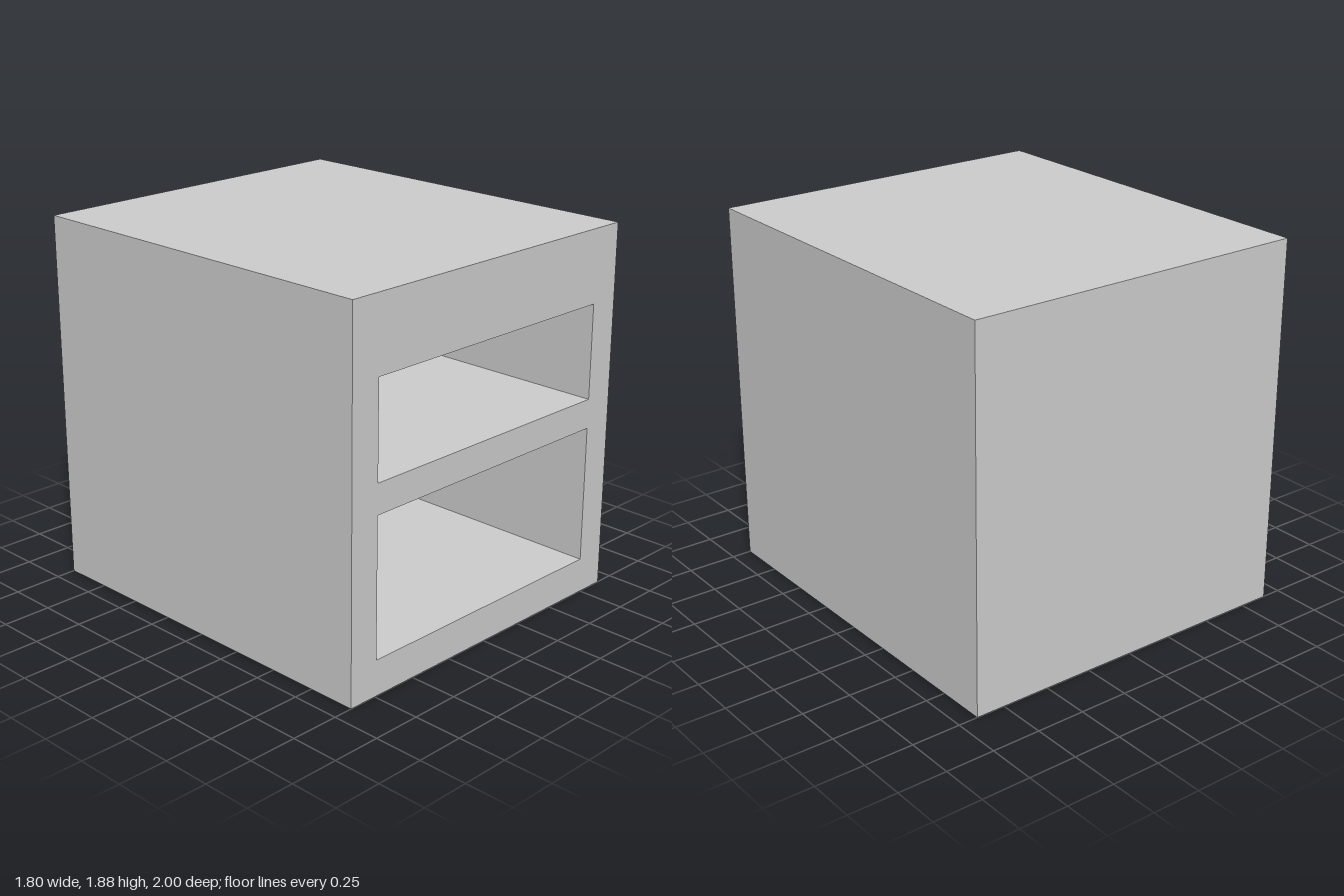
import * as THREE from 'three';

const W = 1.8, H = 1.88, D = 2;                 // outer size
const HALF = 0.74, BACK = -0.84;                // compartment half width and rear
const OPENINGS = [[0.18, 0.88, 'lowerCompartment'], [1.03, 1.51, 'upperCompartment']];

// Thin-walled box without the listed sides (0 +x, 1 -x, 2 +y, 3 -y, 4 +z, 5 -z)
function openBox(w, h, d, skip) {
  const geo = new THREE.BoxGeometry(w, h, d);
  const index = Array.from(geo.index.array);
  geo.setIndex(index.filter((_, i) => !skip.includes(Math.floor(i / 6))));
  geo.clearGroups();
  return geo;
}

function rectangle(Type, x0, y0, x1, y1) {
  return new Type([[x0, y0], [x1, y0], [x1, y1], [x0, y1]].map(p => new THREE.Vector2(...p)));
}

export function createModel() {
  const group = new THREE.Group();
  const grey = new THREE.MeshStandardMaterial({ color: 0xcccccc, side: THREE.DoubleSide });
  grey.name = 'lightGrey';

  const add = (name, geo, y, z) => {
    const mesh = new THREE.Mesh(geo, grey);
    mesh.name = name;
    mesh.position.set(0, y, z);
    group.add(mesh);
  };

  // Outer shell: sides, top and back, open underneath
  add('cabinetShell', openBox(W, H, D, [3, 4]), H / 2, 0);

  // Front face with two openings
  const front = rectangle(THREE.Shape, -W / 2, 0, W / 2, H);
  for (const [y0, y1] of OPENINGS) front.holes.push(rectangle(THREE.Path, -HALF, y0, HALF, y1));
  add('frontFrame', new THREE.ShapeGeometry(front), 0, D / 2);

  // Compartments, open to the front
  const depth = D / 2 - BACK;
  for (const [y0, y1, name] of OPENINGS) {
    add(name, openBox(HALF * 2, y1 - y0, depth, [4]), (y0 + y1) / 2, (D / 2 + BACK) / 2);
  }
  return group;
}
